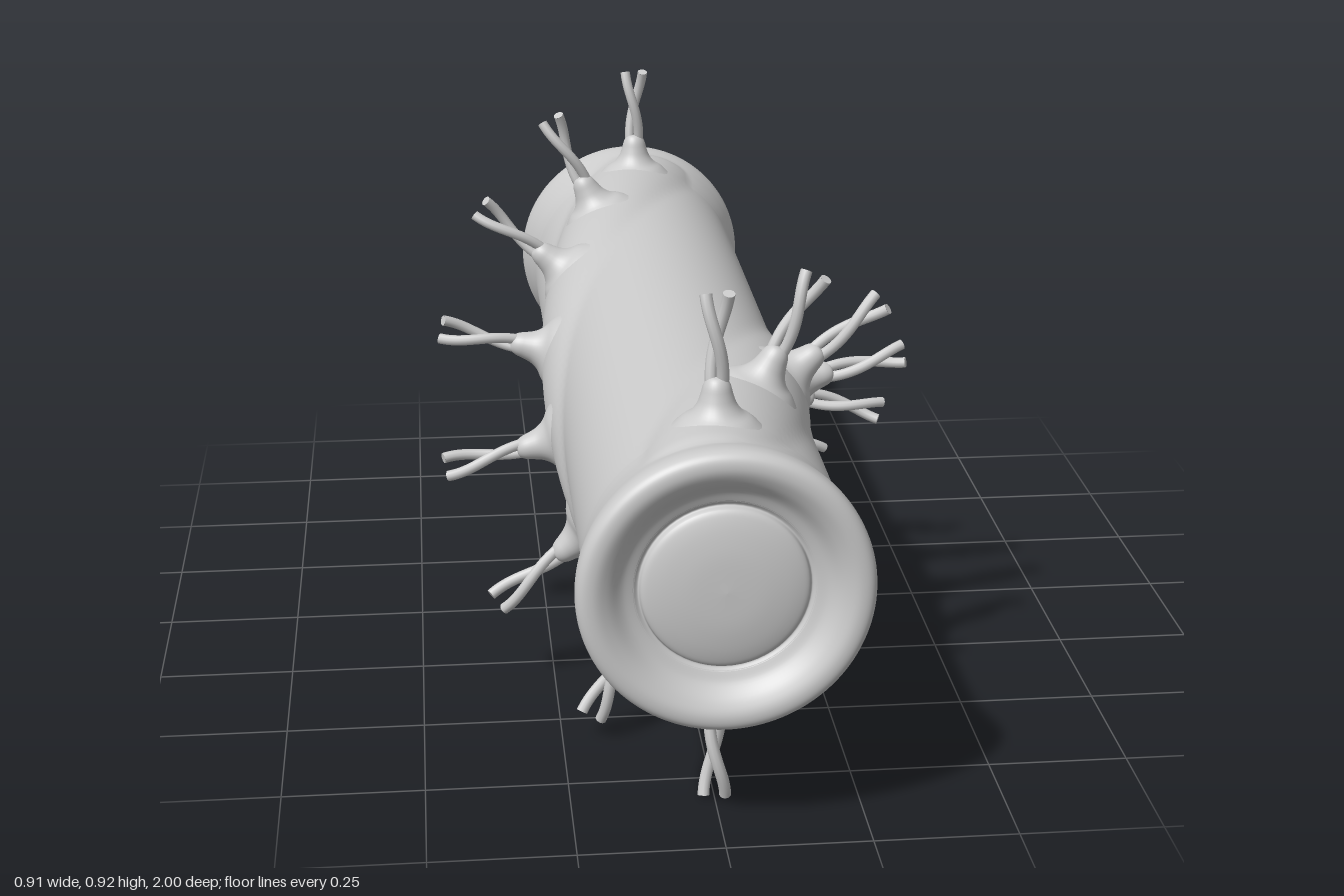
import * as THREE from 'three';

const material = new THREE.MeshStandardMaterial({ color: 0xcccccc, roughness: 0.7 });
const CENTER_Y = 0.457, BODY_R = 0.225, FIRST_Z = 0.82, STATIONS = 8;

function mesh(name, geometry) {
  const m = new THREE.Mesh(geometry, material);
  m.name = name;
  return m;
}

// Angle of the helix at a point along the axis, from +y towards +x
const helixAngle = (z) => ((FIRST_Z - z) / (2 * FIRST_Z)) * Math.PI;

// Smooth lathe from a few profile points
function smoothLathe(points, samples, segments) {
  const curve = new THREE.CatmullRomCurve3(points.map(([r, h]) => new THREE.Vector3(r, h, 0)), false, 'centripetal');
  const profile = curve.getPoints(samples).map((p) => new THREE.Vector2(Math.max(p.x, 0), p.y));
  return new THREE.LatheGeometry(profile, segments);
}

// Cylinder with flared ends, raised along two opposite helical ridges
function bodyGeometry() {
  const flare = [[BODY_R, 0.83], [0.229, 0.87], [0.238, 0.92], [0.247, 0.965], [0.245, 0.988], [0.235, 0.998],
    [0.216, 1], [0.194, 0.99], [0.17, 0.97], [0.15, 0.961]];
  const end = new THREE.CatmullRomCurve3(flare.map(([r, z]) => new THREE.Vector3(r, z, 0)), false, 'centripetal')
    .getPoints(45).map((p) => new THREE.Vector2(p.x, p.y));
  const profile = end.map((p) => new THREE.Vector2(p.x, -p.y)).reverse();
  for (let i = 1; i < 60; i++) profile.push(new THREE.Vector2(BODY_R, -0.83 + (1.66 * i) / 60));
  profile.push(...end);
  const geo = new THREE.LatheGeometry(profile, 128);
  geo.rotateX(Math.PI / 2);
  const pos = geo.attributes.position;
  for (let i = 0; i < pos.count; i++) {
    const x = pos.getX(i), y = pos.getY(i), z = pos.getZ(i), r = Math.hypot(x, y);
    if (Math.abs(z) > 0.985 || r < 0.22) continue;
    let d = Math.atan2(x, y) - helixAngle(z);
    d -= Math.PI * Math.round(d / Math.PI);
    const ridge = 0.023 * Math.max(0, 1 - (d / 0.55) ** 2);
    const s = Math.max(r, BODY_R + ridge * (1 - THREE.MathUtils.smoothstep(Math.abs(z), 0.9, 0.985))) / r;
    pos.setXY(i, x * s, y * s);
  }
  geo.computeVertexNormals();
  // match normals across the lathe seam
  const n = geo.attributes.normal, rows = profile.length, last = 128 * rows;
  for (let j = 0; j < rows; j++) {
    const v = new THREE.Vector3().fromBufferAttribute(n, j)
      .add(new THREE.Vector3().fromBufferAttribute(n, last + j)).normalize();
    n.setXYZ(j, v.x, v.y, v.z);
    n.setXYZ(last + j, v.x, v.y, v.z);
  }
  return geo;
}

// Shallow dome set into each end
function domeGeometry() {
  return smoothLathe([[0.152, 0.962], [0.143, 0.957], [0.138, 0.968], [0.12, 0.976], [0.07, 0.985], [0, 0.988]], 30, 64)
    .rotateX(Math.PI / 2);
}

// One of the two strands twisting half a turn around the spoke axis
class Strand extends THREE.Curve {
  constructor(phase) {
    super();
    this.phase = phase;
  }
  getPoint(t, target = new THREE.Vector3()) {
    const a = Math.PI * t + this.phase, offset = 0.009 + 0.01 * t;
    return target.set(offset * Math.cos(a), 0.295 + 0.161 * t, offset * Math.sin(a));
  }
}

const rootGeo = smoothLathe([[0.075, 0.228], [0.06, 0.242], [0.044, 0.253], [0.033, 0.268], [0.027, 0.285],
  [0.022, 0.302], [0.014, 0.313], [0, 0.315]], 24, 28);
const strands = [0, Math.PI].map((phase) => {
  const curve = new Strand(phase);
  const tube = new THREE.TubeGeometry(curve, 28, 0.0105, 10);
  const cap = new THREE.CircleGeometry(0.0105, 10);
  const turn = new THREE.Quaternion().setFromUnitVectors(new THREE.Vector3(0, 0, 1), curve.getTangent(1));
  cap.applyQuaternion(turn);
  const tip = curve.getPoint(1);
  cap.translate(tip.x, tip.y, tip.z);
  return { tube, cap };
});

function createSpoke() {
  const spoke = new THREE.Group();
  spoke.name = 'spoke';
  spoke.add(mesh('spokeRoot', rootGeo));
  for (const { tube, cap } of strands) spoke.add(mesh('strand', tube), mesh('strandTip', cap));
  return spoke;
}

export function createModel() {
  const model = new THREE.Group();
  model.name = 'spokedCylinder';
  const core = new THREE.Group();
  core.name = 'core';
  core.position.y = CENTER_Y;
  model.add(core);

  core.add(mesh('body', bodyGeometry()));
  const dome = domeGeometry();
  const frontDome = mesh('frontDome', dome);
  const backDome = mesh('backDome', dome);
  backDome.rotation.y = Math.PI;
  core.add(frontDome, backDome);

  // Two opposite helical rows of spokes
  for (let row = 0; row < 2; row++) {
    for (let i = 0; i < STATIONS; i++) {
      const z = FIRST_Z - (2 * FIRST_Z * i) / (STATIONS - 1);
      const spoke = createSpoke();
      spoke.position.z = z;
      spoke.rotation.z = -(helixAngle(z) + row * Math.PI);
      core.add(spoke);
    }
  }
  return model;
}
